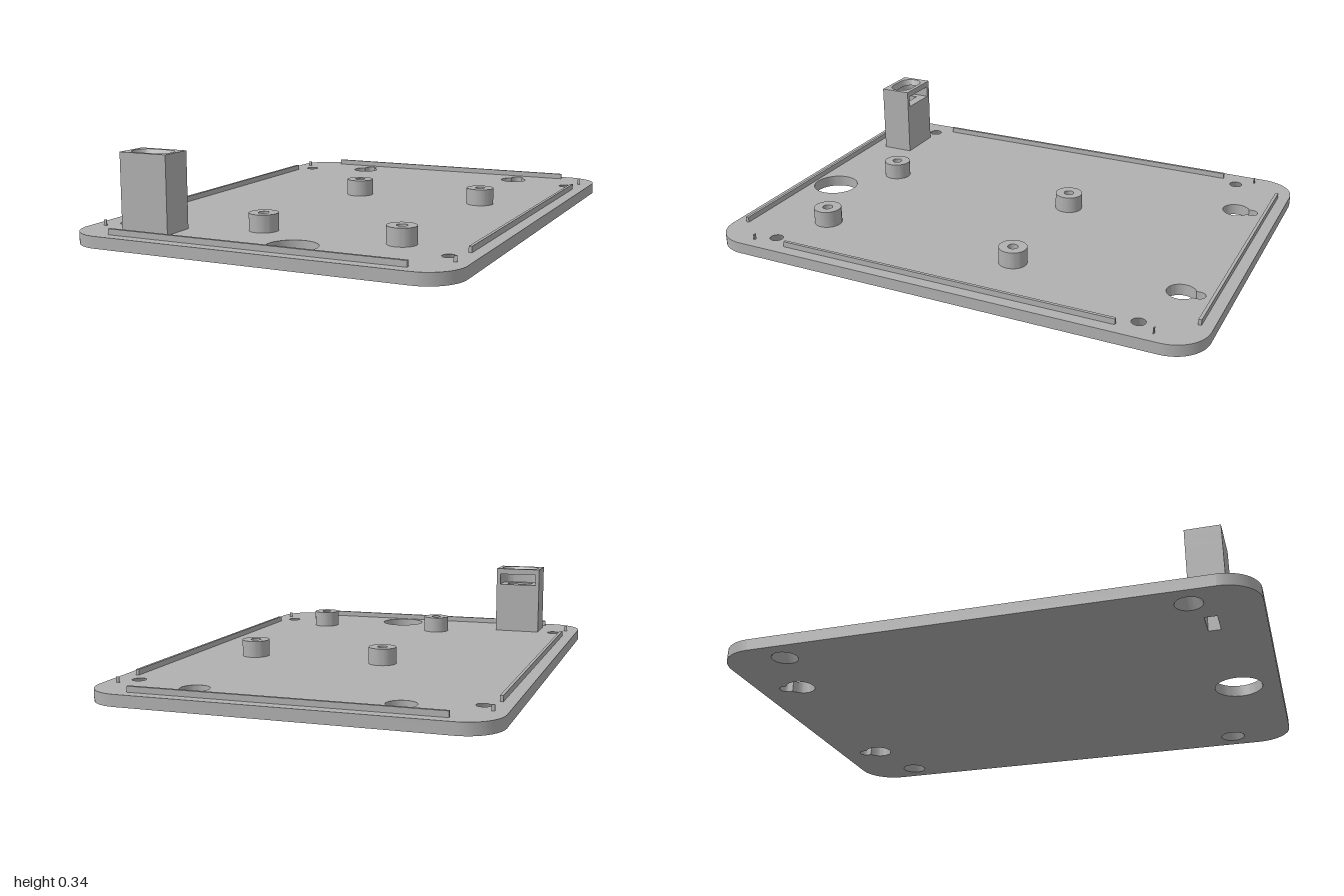
import * as THREE from 'three';
import { toCreasedNormals } from 'three/addons/utils/BufferGeometryUtils.js';

const V = (x, z) => new THREE.Vector2(x, z);

// Closed outlines in the x/z plane
function roundRect(cx, cz, w, d, r, steps = 12) {
  const pts = [];
  const corners = [[1, 1], [-1, 1], [-1, -1], [1, -1]];
  corners.forEach(([sx, sz], i) => {
    for (let k = 0; k <= steps; k++) {
      const a = (i + k / steps) * Math.PI / 2;
      pts.push(V(cx + sx * (w / 2 - r) + r * Math.cos(a), cz + sz * (d / 2 - r) + r * Math.sin(a)));
    }
  });
  return pts;
}

function circle(cx, cz, r, n = 40) {
  return Array.from({ length: n }, (_, i) => {
    const a = i / n * Math.PI * 2;
    return V(cx + r * Math.cos(a), cz + r * Math.sin(a));
  });
}

function rect(cx, cz, w, d) {
  return [V(cx + w / 2, cz + d / 2), V(cx - w / 2, cz + d / 2), V(cx - w / 2, cz - d / 2), V(cx + w / 2, cz - d / 2)];
}

// Round hole with a narrow slot running towards the back
function keyhole(cx, cz, R, r, reach) {
  const pts = [], half = Math.asin(r / R);
  for (let i = 0; i <= 32; i++) {
    const a = -Math.PI / 2 + half + (i / 32) * (Math.PI * 2 - 2 * half);
    pts.push(V(cx + R * Math.cos(a), cz + R * Math.sin(a)));
  }
  for (let i = 0; i <= 14; i++) {
    const a = Math.PI + i / 14 * Math.PI;
    pts.push(V(cx + r * Math.cos(a), cz - reach + r * Math.sin(a)));
  }
  return pts;
}

// Solid slab between two heights; a hole is [bottomOutline, topOutline], so it may taper
function slab(outline, holes, y0, y1) {
  const pos = [];
  const put = (p, y) => pos.push(p.x, y, p.y);
  const wind = (pts, positive) => (THREE.ShapeUtils.area(pts) > 0) === positive ? pts : pts.slice().reverse();
  const outer = wind(outline, true);
  const cuts = holes.map(([b, t]) => [wind(b, false), wind(t || b, false)]);

  [[0, y0], [1, y1]].forEach(([level, y]) => {
    const inner = cuts.map(c => c[level]);
    const all = [outer, ...inner].flat();
    for (const [a, b, c] of THREE.ShapeUtils.triangulateShape(outer.slice(), inner.map(h => h.slice()))) {
      const up = THREE.ShapeUtils.area([all[a], all[b], all[c]]) < 0;
      const order = up === (level === 1) ? [a, b, c] : [a, c, b];
      order.forEach(i => put(all[i], y));
    }
  });

  for (const [b, t] of [[outer, outer], ...cuts]) {
    b.forEach((p, i) => {
      const j = (i + 1) % b.length;
      put(p, y0); put(t[j], y1); put(b[j], y0);
      put(p, y0); put(t[i], y1); put(t[j], y1);
    });
  }
  const g = new THREE.BufferGeometry();
  g.setAttribute('position', new THREE.Float32BufferAttribute(pos, 3));
  return toCreasedNormals(g, 0.6);
}

export function createModel() {
  const model = new THREE.Group();
  model.name = 'mountingPlate';
  const grey = new THREE.MeshStandardMaterial({ color: 0xb0b0b0 });
  grey.name = 'grey plastic';
  const add = (geometry, name, parent = model) => {
    const mesh = new THREE.Mesh(geometry, grey);
    mesh.name = name;
    parent.add(mesh);
    return mesh;
  };
  const TOP = 0.045, RIB = 0.067;
  const tx = -0.476, tz = 0.813;
  const cable = rect(tx, tz, 0.108, 0.045);

  // Base plate: countersunk screw holes, keyholes, cable holes
  const holes = [[circle(0.105, 0.84, 0.093, 56)], [cable]];
  for (const sx of [-1, 1]) {
    holes.push([keyhole(sx * 0.382, -0.825, 0.055, 0.025, 0.065)]);
    for (const sz of [-1, 1]) {
      holes.push([circle(sx * 0.645, sz * 0.755, 0.05), circle(sx * 0.645, sz * 0.755, 0.026)]);
    }
  }
  add(slab(roundRect(0, 0, 1.49, 2, 0.14), holes, 0, TOP), 'basePlate');

  // Locating ribs along the edges and small corner pins
  const box = (w, d, x, z, name) => {
    const mesh = add(new THREE.BoxGeometry(w, RIB - TOP, d), name);
    mesh.position.set(x, (RIB + TOP) / 2, z);
  };
  for (const s of [-1, 1]) {
    box(0.012, 1.37, s * 0.692, -0.003, 'sideRib');
    box(1.156, 0.012, 0, s * 0.95, 'endRib');
    for (const sz of [-1, 1]) box(0.012, 0.004, s * 0.692, sz * 0.825, 'cornerPin');
  }

  // Hollow standoffs
  for (const x of [-0.112, 0.434]) {
    for (const z of [-0.18, 0.653]) {
      add(slab(circle(x, z, 0.055), [[circle(x, z, 0.02, 24)]], TOP, 0.111), 'standoff');
    }
  }

  // Connector tower: cable shaft, pocket open to the back, rounded top opening
  const tower = new THREE.Group();
  tower.name = 'connectorTower';
  model.add(tower);
  const W = 0.197, D = 0.132;
  const body = rect(tx, tz, W, D);
  add(slab(body, [[cable]], TOP, 0.262), 'towerShaft', tower);

  const pocket = [V(tx - W / 2, tz - D / 2), V(tx - W / 2, tz + D / 2), V(tx + W / 2, tz + D / 2), V(tx + W / 2, tz - D / 2), V(tx + 0.082, tz - D / 2)];
  for (let i = 0; i <= 20; i++) {
    const a = i / 20 * Math.PI;
    const side = i <= 10 ? 1 : -1;
    pocket.push(V(tx + side * 0.033 + 0.049 * Math.cos(a), tz + 0.049 * Math.sin(a)));
  }
  pocket.push(V(tx - 0.082, tz - D / 2));
  add(slab(pocket, [], 0.262, 0.31), 'towerPocket', tower);

  const opening = (w, d) => roundRect(tx, tz, w, d, d / 2 - 0.001);
  add(slab(body, [[opening(0.145, 0.078), opening(0.166, 0.099)]], 0.31, 0.335), 'towerRim', tower);

  return model;
}
